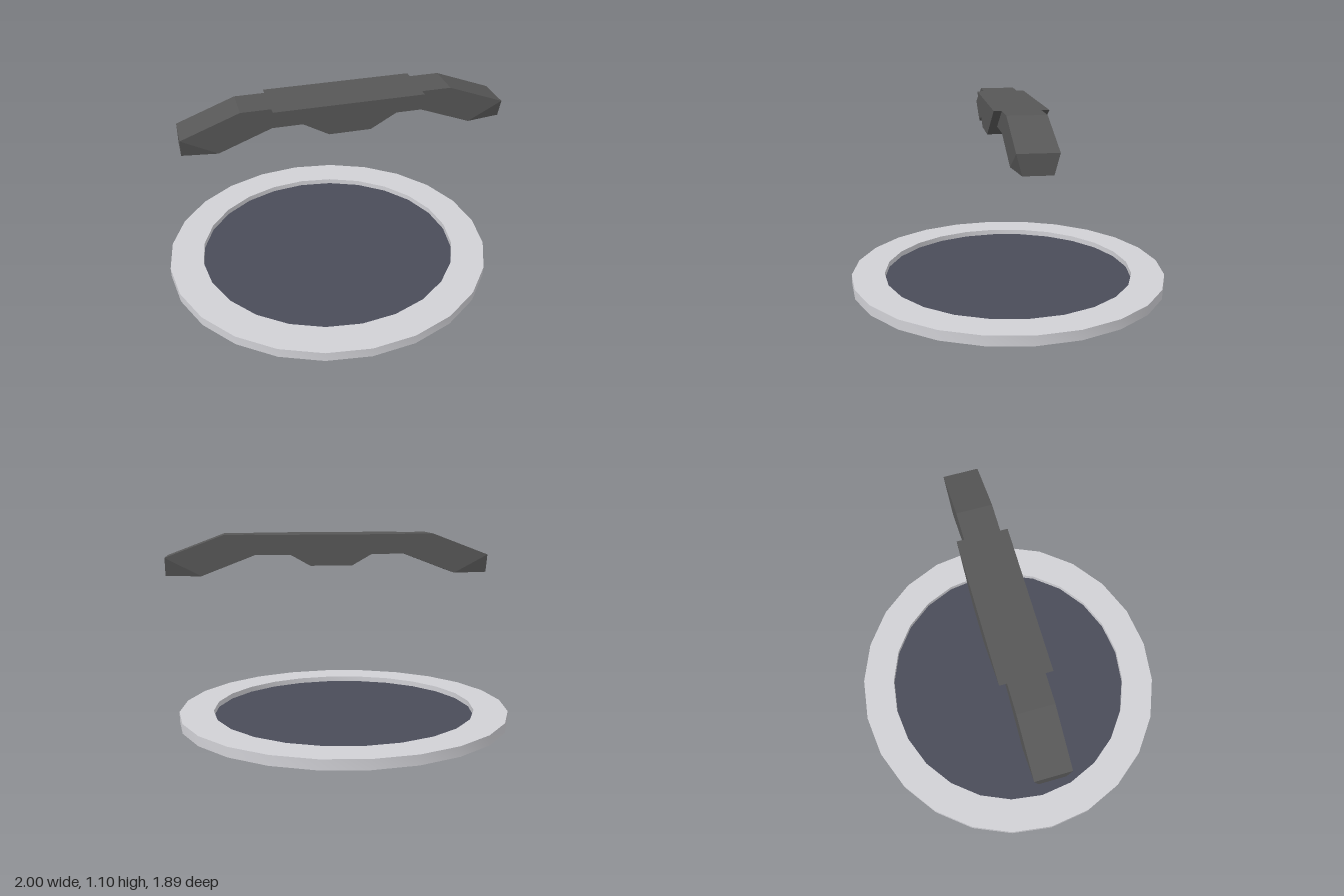
import * as THREE from 'three';
import { toCreasedNormals } from 'three/addons/utils/BufferGeometryUtils.js';

const SIDES = 24;

// Points of a 24-sided oval
function oval(rx, rz) {
  const pts = [];
  for (let i = 0; i < SIDES; i++) {
    const a = (i / SIDES) * Math.PI * 2;
    pts.push(new THREE.Vector2(Math.cos(a) * rx, Math.sin(a) * rz));
  }
  return pts;
}

// Half of the handle: a bent bar whose outer lower corner is pinched in z
function armGeometry() {
  // x, y, half width; clockwise seen from +z
  const p = [
    [0.93, 0.975, 0.103], [0.93, 0.87, 0.075], [0.73, 0.87, 0.103], [0.43, 0.985, 0.103],
    [0.226, 0.985, 0.103], [0.43, 1.1, 0.103], [0.6, 1.1, 0.103],
  ];
  const sideTris = [[0, 1, 2], [0, 2, 6], [2, 3, 6], [3, 5, 6], [3, 4, 5]];
  const pos = [];
  const put = (i, s) => pos.push(p[i][0], p[i][1], s * p[i][2]);
  for (const [a, b, c] of sideTris) {
    put(a, 1); put(c, 1); put(b, 1);
    put(a, -1); put(b, -1); put(c, -1);
  }
  for (let i = 0; i < p.length; i++) {
    if (i === 4) continue; // joint, hidden against the grip
    const j = (i + 1) % p.length;
    put(i, 1); put(j, 1); put(j, -1);
    put(i, 1); put(j, -1); put(i, -1);
  }
  const g = new THREE.BufferGeometry();
  g.setAttribute('position', new THREE.Float32BufferAttribute(pos, 3));
  g.computeVertexNormals();
  return g;
}

export function createModel() {
  const model = new THREE.Group();
  const rimMat = new THREE.MeshStandardMaterial({ color: 0xd0d0d5 });
  const panelMat = new THREE.MeshStandardMaterial({ color: 0x4a4c59, side: THREE.DoubleSide });
  const handleMat = new THREE.MeshStandardMaterial({ color: 0x575757, flatShading: true });

  function add(parent, name, geometry, material) {
    const mesh = new THREE.Mesh(geometry, material);
    mesh.name = name;
    parent.add(mesh);
    return mesh;
  }

  // Base: flat rim with a recessed panel
  const base = new THREE.Group();
  base.name = 'base';
  base.position.x = -0.02;
  model.add(base);

  const rimShape = new THREE.Shape(oval(0.98, 0.943));
  rimShape.holes.push(new THREE.Path(oval(0.78, 0.748)));
  const rimGeo = new THREE.ExtrudeGeometry(rimShape, { depth: 0.057, bevelEnabled: false });
  rimGeo.rotateX(-Math.PI / 2);
  add(base, 'rim', toCreasedNormals(rimGeo, 0.6), rimMat);

  const panelGeo = new THREE.ShapeGeometry(new THREE.Shape(oval(0.78, 0.748)));
  panelGeo.rotateX(-Math.PI / 2);
  add(base, 'panel', panelGeo, panelMat).position.y = 0.024;

  // Handle floating above: wide tapered grip and two drooping arms
  const handle = new THREE.Group();
  handle.name = 'handle';
  handle.position.x = 0.072;
  model.add(handle);

  const gripShape = new THREE.Shape([
    new THREE.Vector2(-0.43, 1.1), new THREE.Vector2(-0.12, 0.925),
    new THREE.Vector2(0.12, 0.925), new THREE.Vector2(0.43, 1.1),
  ]);
  const gripGeo = new THREE.ExtrudeGeometry(gripShape, { depth: 0.29, bevelEnabled: false });
  gripGeo.translate(0, 0, -0.145);
  add(handle, 'grip', gripGeo, handleMat);

  const armGeo = armGeometry();
  add(handle, 'leftArm', armGeo, handleMat);
  add(handle, 'rightArm', armGeo, handleMat).rotation.y = Math.PI;

  return model;
}
